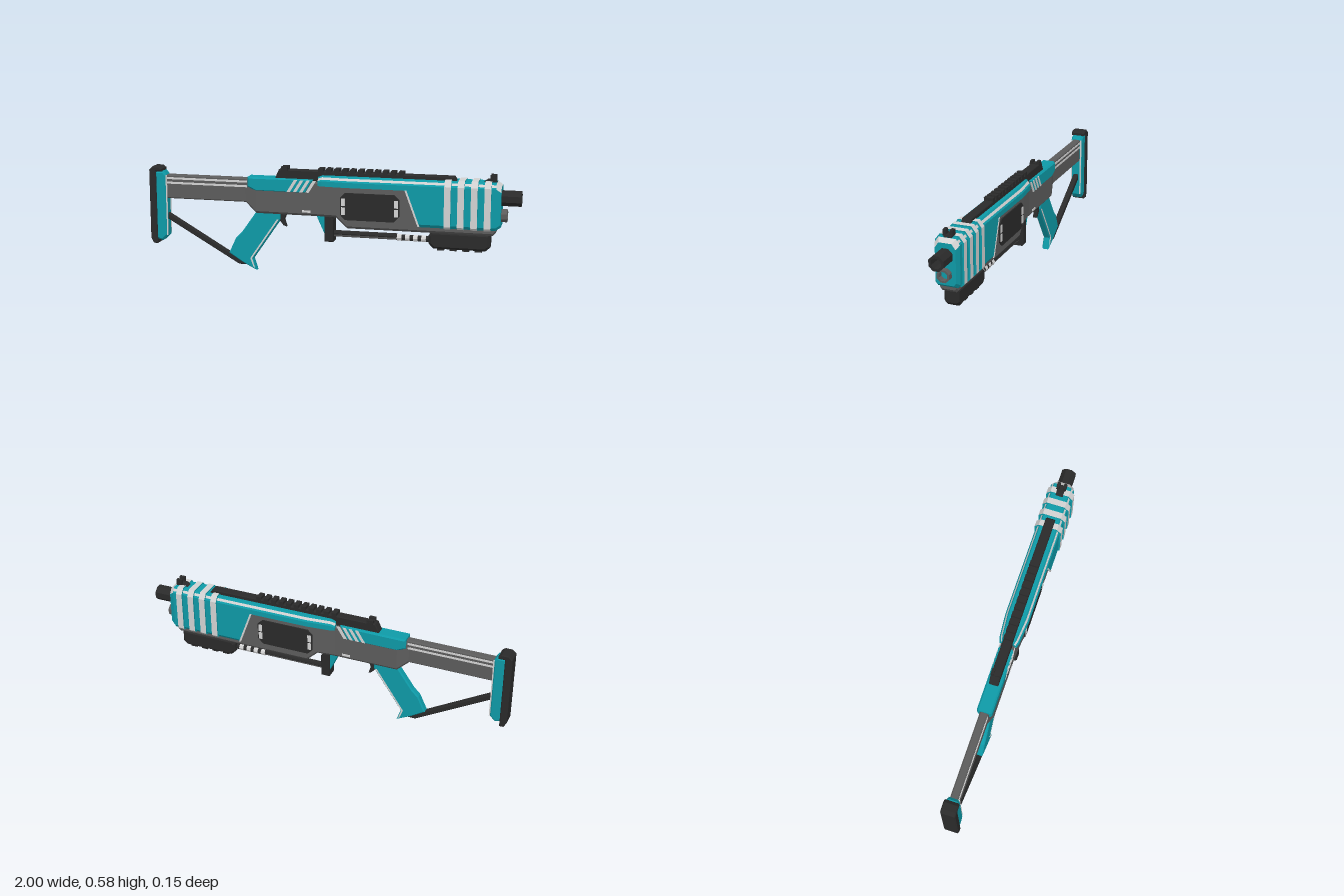
import * as THREE from 'three';

const paint = (name, color) => {
  const m = new THREE.MeshStandardMaterial({ color });
  m.name = name;
  return m;
};

export function createModel() {
  const root = new THREE.Group();
  const teal = paint('teal', 0x0e9aa7);
  const dark = paint('charcoal', 0x2a2a2a);
  const grey = paint('grey', 0x5c5c5c);
  const light = paint('lightGrey', 0xd2d2d2);

  const add = (name, geo, mat, x = 0, y = 0, z = 0) => {
    const m = new THREE.Mesh(geo, mat);
    m.name = name;
    m.position.set(x, y, z);
    root.add(m);
    return m;
  };
  const shapeOf = (pts) => new THREE.Shape(pts.map(([x, y]) => new THREE.Vector2(x, y)));

  // Side profile extruded across z, with chamfered edges
  const slab = (name, pts, half, mat, b = 0.006) => {
    const geo = new THREE.ExtrudeGeometry(shapeOf(pts), {
      depth: 2 * (half - b), bevelEnabled: b > 0, bevelThickness: b,
      bevelSize: b, bevelOffset: -b, bevelSegments: 1,
    });
    return add(name, geo, mat, 0, 0, -(half - b));
  };
  // Thin painted plate on both flanks
  const plates = (name, pts, z, mat, t = 0.004) => {
    for (const s of [1, -1]) {
      const geo = new THREE.ExtrudeGeometry(shapeOf(pts), { depth: t, bevelEnabled: false });
      add(name, geo, mat, 0, 0, s > 0 ? z - t / 2 : -z - t / 2);
    }
  };
  const box = (name, x0, x1, y0, y1, half, mat) =>
    add(name, new THREE.BoxGeometry(x1 - x0, y1 - y0, 2 * half), mat, (x0 + x1) / 2, (y0 + y1) / 2);
  const rod = (name, x0, x1, y, r, sides, mat) => {
    const geo = new THREE.CylinderGeometry(r, r, x1 - x0, sides).toNonIndexed();
    geo.computeVertexNormals();
    geo.rotateZ(-Math.PI / 2);
    return add(name, geo, mat, (x0 + x1) / 2, y);
  };

  // Mirrored cross-section; half = [z, y] from bottom to top, x a number or a rule of y
  const ring = (x, half) => {
    const at = (z, y) => [typeof x === 'function' ? x(y) : x, y, z];
    return [...half.map(([z, y]) => at(z, y)), ...half.slice().reverse().map(([z, y]) => at(-z, y))];
  };
  // Faceted skin through rings; pick(segment, edge) gives the material index
  const loft = (name, rings, mats, pick = () => 0) => {
    const tris = mats.map(() => []);
    const n = rings[0].length;
    for (let i = 0; i + 1 < rings.length; i++) {
      for (let j = 0; j < n; j++) {
        const k = (j + 1) % n, a = rings[i], b = rings[i + 1];
        tris[pick(i, j)].push(a[j], b[j], b[k], a[j], b[k], a[k]);
      }
    }
    const first = rings[0], last = rings[rings.length - 1];
    for (let j = 1; j + 1 < n; j++) {
      tris[0].push(first[0], first[j], first[j + 1], last[0], last[j + 1], last[j]);
    }
    const geo = new THREE.BufferGeometry();
    geo.setAttribute('position', new THREE.Float32BufferAttribute(tris.flat(2), 3));
    let start = 0;
    tris.forEach((t, i) => { geo.addGroup(start, t.length, i); start += t.length; });
    geo.computeVertexNormals();
    return add(name, geo, mats);
  };

  // Receiver, widening from the stock towards the front
  const bodyRing = (x, w, y0, y1) => ring(x, [[w - 0.01, y0], [w, y0 + 0.012], [w, y1 - 0.012], [w - 0.01, y1]]);
  loft('receiver', [
    bodyRing(-0.46, 0.021, 0.372, 0.505), bodyRing(-0.4, 0.036, 0.32, 0.505),
    bodyRing(-0.06, 0.037, 0.32, 0.505), bodyRing(0.04, 0.045, 0.32, 0.505),
    bodyRing(0.1, 0.047, 0.265, 0.505), bodyRing(0.86, 0.047, 0.265, 0.505),
    bodyRing(0.875, 0.043, 0.28, 0.505),
  ], [grey]);

  // Upper shell with a light line along its chamfer
  const coverRing = (x, w, top) => ring(x, [
    [w, 0.485], [w, top - 0.028], [w - 0.006, top - 0.02], [w - 0.014, top - 0.008], [w - 0.02, top],
  ]);
  loft('upperShell', [
    coverRing(-0.06, 0.045, 0.53), coverRing(-0.035, 0.053, 0.54), coverRing(0.09, 0.064, 0.54),
    coverRing(0.875, 0.064, 0.54), coverRing(0.9, 0.053, 0.522),
  ], [teal, light], (i, j) => (i === 3 ? (j >= 1 && j <= 7) : (j === 2 || j === 6)) ? 1 : 0);

  // Front shell with slanted rear edge
  const slant = (y) => 0.41 + (0.485 - y) * 0.38;
  const shellRing = (x, w, y0) => ring(x, [[w - 0.012, y0], [w, y0 + 0.016], [w, 0.485]]);
  loft('frontShell', [
    shellRing(slant, 0.064, 0.295), shellRing(0.875, 0.064, 0.295), shellRing(0.9, 0.053, 0.312),
  ], [teal]);
  plates('shellEdgeLine', [[0.406, 0.487], [0.416, 0.487], [0.486, 0.3], [0.476, 0.3]], 0.064, light);

  // Raised bands around the front shell
  for (let i = 0; i < 4; i++) {
    const x = 0.612 + i * 0.0685;
    loft('shellBand', [x, x + 0.034].map((v) => ring(v, [
      [0.06, 0.293], [0.073, 0.306], [0.073, 0.515], [0.05, 0.546],
    ])), [teal, light], () => 1);
  }

  // Side panel with tabs
  plates('sidePanel', [[0.065, 0.43], [0.09, 0.456], [0.35, 0.456], [0.378, 0.43],
    [0.378, 0.342], [0.35, 0.312], [0.09, 0.312], [0.065, 0.338]], 0.049, dark, 0.009);
  for (const x of [0.07, 0.352]) {
    for (const y of [0.34, 0.387]) {
      plates('panelTab', [[x, y], [x + 0.02, y], [x + 0.02, y + 0.04], [x, y + 0.04]], 0.054, light);
    }
  }
  plates('markingPlate', [[-0.145, 0.338], [-0.1, 0.338], [-0.1, 0.35], [-0.145, 0.35]], 0.037, light);

  // Rear cover and its diagonal stripes
  slab('rearCover', [[-0.445, 0.515], [-0.445, 0.462], [-0.4, 0.44], [-0.125, 0.44], [-0.085, 0.515]], 0.04, teal, 0.008);
  for (let i = 0; i < 4; i++) {
    const x = -0.228 + i * 0.034;
    plates('coverStripe', [[x, 0.446], [x + 0.018, 0.446], [x + 0.058, 0.51], [x + 0.04, 0.51]], 0.04, light);
  }

  // Stock bar, butt plate, pad and strut
  slab('stockBar', [[-0.92, 0.375], [-0.43, 0.375], [-0.43, 0.505], [-0.92, 0.505]], 0.021, grey);
  for (const y of [0.456, 0.481]) {
    plates('stockStripe', [[-0.905, y], [-0.446, y], [-0.446, y + 0.011], [-0.905, y + 0.011]], 0.021, light);
  }
  slab('buttPlate', [[-0.97, 0.15], [-0.935, 0.14], [-0.905, 0.17], [-0.905, 0.505], [-0.92, 0.525], [-0.97, 0.525]], 0.033, teal, 0.01);
  for (const z of [0.027, -0.027]) {
    add('buttEdgeLine', new THREE.BoxGeometry(0.006, 0.33, 0.007), light, -0.906, 0.338, z);
  }
  slab('buttPad', [[-1, 0.155], [-0.985, 0.125], [-0.962, 0.125], [-0.962, 0.523], [-0.928, 0.523],
    [-0.928, 0.538], [-0.945, 0.55], [-0.98, 0.55], [-1, 0.532]], 0.039, dark, 0.005);
  slab('strut', [[-0.915, 0.265], [-0.505, 0.03], [-0.44, 0.03], [-0.44, 0.055], [-0.495, 0.055], [-0.905, 0.293]], 0.015, dark, 0.004);

  // Grip, front edge lines and trigger
  slab('grip', [[-0.4, 0.33], [-0.27, 0.33], [-0.27, 0.29], [-0.425, 0.065], [-0.405, 0.002],
    [-0.49, 0.045], [-0.56, 0.09], [-0.52, 0.175], [-0.485, 0.21]], 0.02, teal, 0.006);
  plates('gripEdgeLine', [[-0.288, 0.29], [-0.279, 0.288], [-0.43, 0.068], [-0.414, 0.015], [-0.422, 0.02], [-0.44, 0.068]], 0.0195, light);
  slab('trigger', [[-0.29, 0.325], [-0.235, 0.325], [-0.25, 0.29], [-0.238, 0.25], [-0.256, 0.257], [-0.28, 0.288]], 0.012, dark, 0.003);

  // Front bracket, rod and collars
  slab('bracketWedge', [[-0.072, 0.325], [-0.02, 0.325], [-0.02, 0.21]], 0.025, teal, 0.003);
  slab('bracket', [[-0.026, 0.185], [0.022, 0.185], [0.022, 0.305], [0.01, 0.325], [-0.026, 0.325]], 0.036, dark);
  rod('slideRod', 0.01, 0.56, 0.223, 0.014, 8, grey);
  rod('rodSleeve', 0.02, 0.36, 0.228, 0.016, 8, dark);
  for (let i = 0; i < 4; i++) {
    const x = 0.36 + i * 0.043;
    rod('rodCollar', x, x + 0.024, 0.223, 0.018, 8, light);
    rod('rodSpacer', x + 0.024, x + 0.043, 0.223, 0.016, 8, dark);
  }

  // Foregrip with ridges underneath
  slab('foregrip', [[0.53, 0.25], [0.545, 0.27], [0.848, 0.27], [0.848, 0.2], [0.825, 0.18], [0.555, 0.18], [0.53, 0.205]], 0.039, dark, 0.012);
  for (let i = 0; i < 4; i++) box('foregripRidge', 0.575 + i * 0.065, 0.61 + i * 0.065, 0.171, 0.19, 0.024, dark);

  // Top rail, teeth and sights
  slab('topRail', [[-0.3, 0.505], [-0.275, 0.56], [0.655, 0.56], [0.675, 0.53], [-0.04, 0.53], [-0.06, 0.505]], 0.025, dark, 0.004);
  for (let i = 0; i < 11; i++) box('railTooth', -0.06 + i * 0.0428, -0.033 + i * 0.0428, 0.55, 0.575, 0.025, dark);
  box('rearSightBase', -0.262, -0.228, 0.555, 0.566, 0.027, dark);
  slab('frontSightBase', [[0.8, 0.535], [0.825, 0.552], [0.87, 0.552], [0.875, 0.535]], 0.02, dark, 0.003);
  for (const z of [0.018, -0.018]) {
    add('rearSightPost', new THREE.BoxGeometry(0.034, 0.02, 0.016), dark, -0.245, 0.567, z);
    add('frontSightPost', new THREE.BoxGeometry(0.03, 0.03, 0.016), dark, 0.855, 0.562, z);
  }

  // Open octagonal tubes at the front
  const tube = (name, x0, x1, y, r, inner, mat) => {
    const corner = (rad) => Array.from({ length: 8 }, (_, i) => {
      const a = (i + 0.5) * Math.PI / 4;
      return new THREE.Vector2(Math.cos(a) * rad, Math.sin(a) * rad);
    });
    const s = new THREE.Shape(corner(r));
    s.holes.push(new THREE.Path(corner(inner)));
    const geo = new THREE.ExtrudeGeometry(s, { depth: x1 - x0, bevelEnabled: false });
    geo.rotateY(Math.PI / 2);
    add(name, geo, mat, x0, y);
  };
  tube('mainBarrel', 0.895, 1, 0.458, 0.041, 0.027, dark);
  tube('lowerTube', 0.895, 0.93, 0.367, 0.034, 0.024, grey);
  tube('lowerTubeCollar', 0.895, 0.912, 0.367, 0.03, 0.025, dark);

  return root;
}
